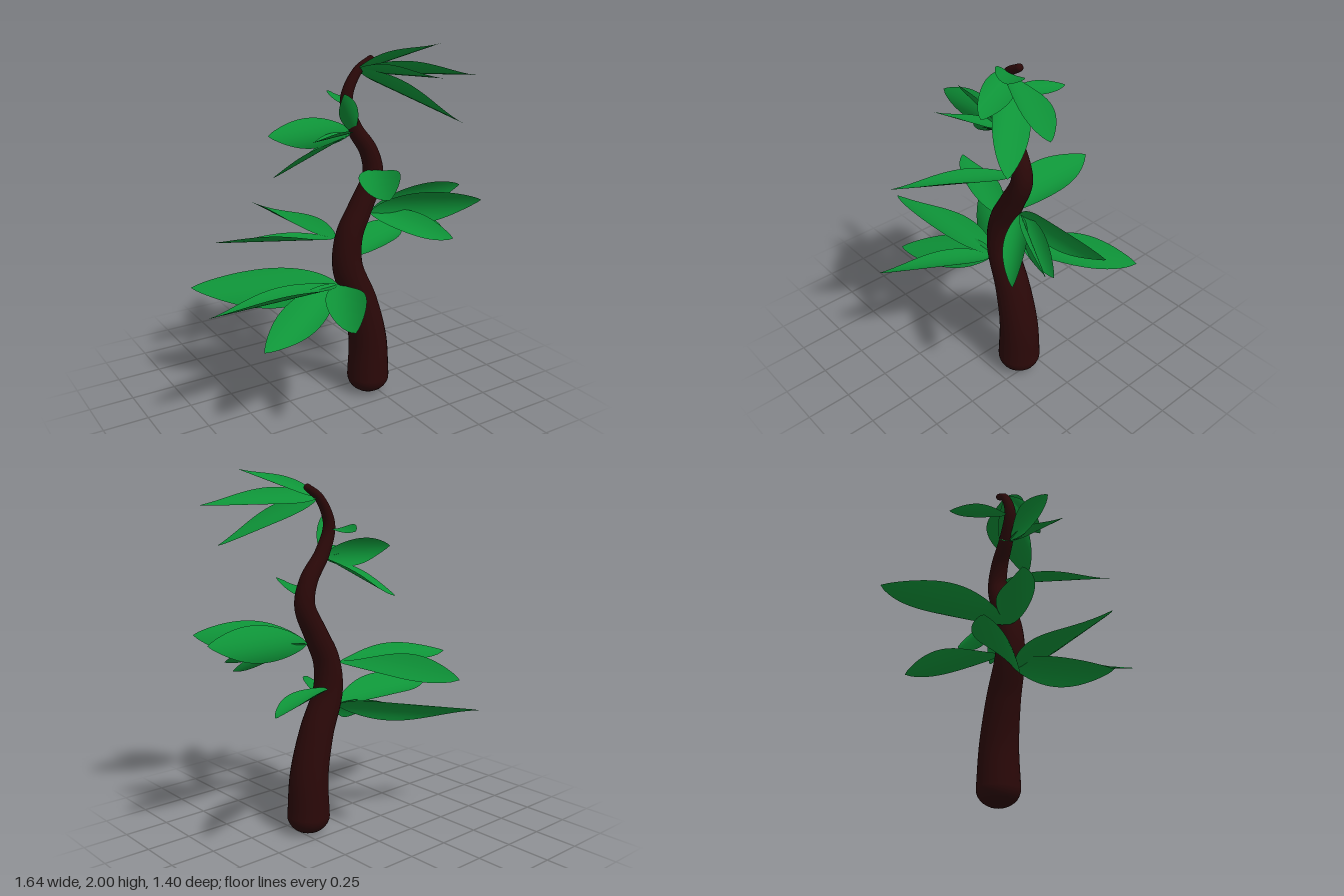
import * as THREE from 'three';

const Z = 0.11; // the trunk bends only in the x-y plane at this depth
const V = (a) => new THREE.Vector3(...a);
const bark = new THREE.MeshStandardMaterial({ color: 0x2a0808 });
const foliage = new THREE.MeshStandardMaterial({ color: 0x0e9438, side: THREE.DoubleSide });

// Tapered, winding trunk: a tube whose radius shrinks along its length
function createTrunk() {
  const group = new THREE.Group();
  group.name = 'trunk';
  const points = [[0.207, 0.1], [0.2, 0.33], [0.145, 0.57], [0.06, 0.8], [0.07, 0.97], [0.14, 1.12],
    [0.217, 1.29], [0.19, 1.42], [0.095, 1.56], [0.045, 1.71], [0.11, 1.85], [0.19, 1.905]];
  const curve = new THREE.CatmullRomCurve3(points.map(([x, y]) => new THREE.Vector3(x, y, Z)));
  const rows = 96, sides = 24, r0 = 0.12, r1 = 0.02;
  const geo = new THREE.TubeGeometry(curve, rows, 1, sides);
  const pos = geo.attributes.position, p = new THREE.Vector3();
  for (let i = 0; i <= rows; i++) {
    const c = curve.getPointAt(i / rows);
    const r = THREE.MathUtils.lerp(r0, r1, i / rows);
    for (let j = 0; j <= sides; j++) {
      const k = i * (sides + 1) + j;
      p.fromBufferAttribute(pos, k).sub(c).multiplyScalar(r).add(c);
      pos.setXYZ(k, p.x, p.y, p.z);
    }
  }
  geo.computeVertexNormals();
  const stem = new THREE.Mesh(geo, bark);
  stem.name = 'stem';
  group.add(stem);

  // Rounded ends
  for (const [name, t, r, squash] of [['rootEnd', 0, r0, 0.83], ['stemTip', 1, r1, 1]]) {
    const end = new THREE.Mesh(new THREE.SphereGeometry(r, 24, 16), bark);
    end.name = name;
    end.position.copy(curve.getPointAt(t));
    end.scale.y = squash;
    group.add(end);
  }
  return group;
}

// Pointed leaf of unit length along +x, curled as a trough that runs slightly askew,
// so the -z edge stands higher than the +z edge
function createLeafGeometry() {
  const geo = new THREE.PlaneGeometry(1, 1, 24, 12);
  const pos = geo.attributes.position;
  const skew = 0.12, curl = 2.2;
  for (let i = 0; i < pos.count; i++) {
    const t = pos.getX(i) + 0.5;
    const swell = Math.max(0, Math.sin(Math.PI * Math.pow(t, 0.9)));
    const z = -pos.getY(i) * 0.31 * Math.pow(swell, 0.8);
    const s = z - skew * t;
    pos.setXYZ(i, t, curl * (s * s - skew * skew * t), z);
  }
  geo.computeVertexNormals();
  return geo;
}

// Clusters: name, shared base, then each leaf as [tip, direction its upper face points]
const UP = [0, 1, 0];
const clusters = [
  ['lowerRightLeaves', [0, 0.702, 0.11], [
    [[-0.82, 0.722, 0.2], UP],
    [[-0.66, 0.65, -0.38], [0.45, -0.64, -0.61]],
    [[-0.58, 0.54, 0.35], [-0.14, -0.64, -0.75]],
    [[-0.27, 0.715, 0.7], UP]]],
  ['lowerLeftLeaf', [0.12, 0.832, 0.08], [[[0.695, 0.848, -0.27], UP]]],
  ['middleRightLeaves', [0, 0.96, 0.08], [
    [[-0.6, 0.974, -0.15], UP],
    [[-0.11, 0.98, -0.7], UP]]],
  ['middleLeftLeaves', [0.2, 1.08, 0.11], [
    [[0.82, 1.15, 0.12], [0, 0, 1]],
    [[0.72, 1.15, 0.42], [-0.5, 0, 0.86]],
    [[0.6, 0.97, 0.24], [0.06, 0.81, 0.58]],
    [[0.52, 0.97, 0.44], [-0.09, 0.9, 0.41]]]],
  ['frontLeaf', [0.19, 1.328, 0.13], [[[-0.09, 1.344, 0.7], UP]]],
  ['upperRightLeaves', [0.08, 1.54, 0.12], [
    [[-0.41, 1.57, 0.11], [0, 0, -1]],
    [[-0.31, 1.31, -0.04], UP],
    [[-0.26, 1.555, 0.29], UP],
    [[-0.07, 1.77, 0.27], [0.26, 0.68, -0.63]]]],
  ['backLeaf', [0.04, 1.688, 0.09], [[[0.16, 1.696, -0.23], UP]]],
  ['crownLeaves', [0.11, 1.86, 0.11], [
    [[0.43, 2, 0.39], [0.14, 0.79, -0.59]],
    [[0.68, 1.82, 0.37], [0.12, 0.8, -0.58]],
    [[0.52, 1.6, 0.47], [0.55, 0.8, -0.4]],
    [[0.37, 1.84, 0.49], [0.5, 0.76, -0.32]]]],
];

export function createModel() {
  const model = new THREE.Group();
  model.name = 'plant';
  model.add(createTrunk());

  const leafGeometry = createLeafGeometry();
  for (const [name, base, leaves] of clusters) {
    const cluster = new THREE.Group();
    cluster.name = name;
    cluster.position.set(...base);
    for (const [tip, facing] of leaves) {
      const along = V(tip).sub(V(base));
      const length = along.length();
      along.normalize();
      const side = along.clone().cross(V(facing)).normalize();
      const up = side.clone().cross(along);
      const leaf = new THREE.Mesh(leafGeometry, foliage);
      leaf.name = 'leaf';
      leaf.quaternion.setFromRotationMatrix(new THREE.Matrix4().makeBasis(along, up, side));
      leaf.scale.setScalar(length);
      cluster.add(leaf);
    }
    model.add(cluster);
  }
  return model;
}
